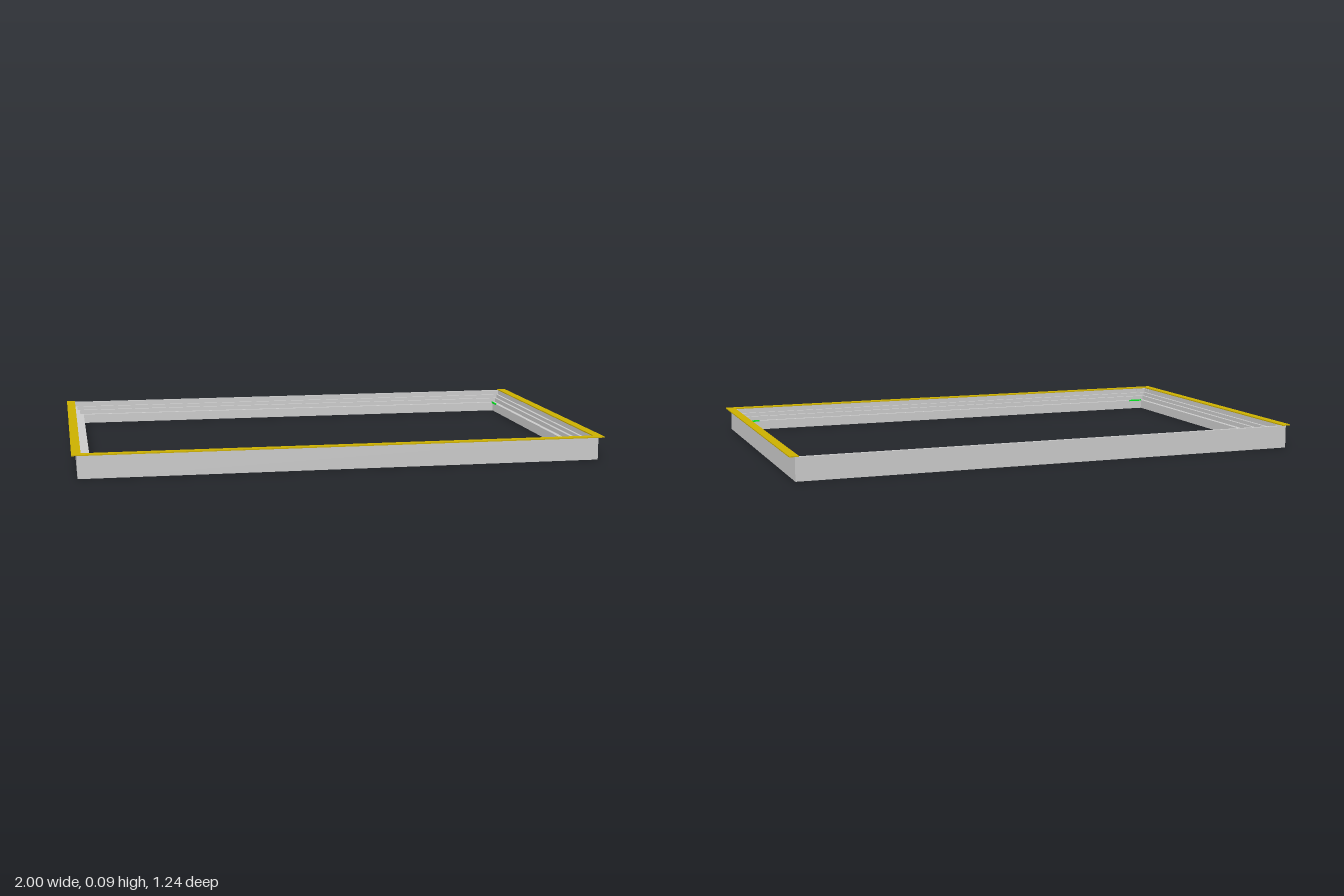
import * as THREE from 'three';

const OUT_X = 0.98, FRONT = 0.605, BACK = -0.62;

const material = (color) => new THREE.MeshStandardMaterial({ color });

function addBox(group, name, mat, size, pos) {
  const mesh = new THREE.Mesh(new THREE.BoxGeometry(...size), mat);
  mesh.name = name;
  mesh.position.set(...pos);
  group.add(mesh);
}

// Sweeps a closed [inset, height] profile round the rectangle with mitred corners
function mitredFrame(profile) {
  const corners = [[-1, 1], [1, 1], [1, -1], [-1, -1]];
  const point = (i, j) => {
    const [sx, sz] = corners[i % 4];
    const [inset, y] = profile[j % profile.length];
    return [sx * (OUT_X - inset), y, sz > 0 ? FRONT - inset : BACK + inset];
  };
  const positions = [];
  for (let i = 0; i < 4; i++) {
    for (let j = 0; j < profile.length; j++) {
      const a = point(i, j), b = point(i, j + 1);
      const d = point(i + 1, j), c = point(i + 1, j + 1);
      positions.push(...a, ...d, ...c, ...a, ...c, ...b);
    }
  }
  const geometry = new THREE.BufferGeometry();
  geometry.setAttribute('position', new THREE.Float32BufferAttribute(positions, 3));
  geometry.computeVertexNormals();
  return geometry;
}

export function createModel() {
  const group = new THREE.Group();
  const grey = material(0xcccccc);
  const yellow = material(0xccb000);
  const green = material(0x00ee22);

  // Frame with a rebated, stepped inner side
  const frame = new THREE.Mesh(mitredFrame([
    [0, 0], [0, 0.087], [0.013, 0.087], [0.013, 0.068],
    [0.023, 0.068], [0.023, 0.054], [0.034, 0.054], [0.034, 0.037],
    [0.05, 0.037], [0.05, 0],
  ]), grey);
  frame.name = 'frame';
  group.add(frame);

  // Thin covering flange on the two sides and the front, open at the back
  const outline = [
    [-1, BACK], [-1, 0.62], [1, 0.62], [1, BACK],
    [0.966, BACK], [0.966, 0.588], [-0.966, 0.588], [-0.966, BACK],
  ].map(([x, z]) => new THREE.Vector2(x, -z));
  const flangeGeometry = new THREE.ExtrudeGeometry(new THREE.Shape(outline), {
    depth: 0.004, bevelEnabled: false,
  });
  flangeGeometry.rotateX(-Math.PI / 2);
  const flange = new THREE.Mesh(flangeGeometry, yellow);
  flange.name = 'topFlange';
  flange.position.y = 0.087;
  group.add(flange);

  // Small seal strips along the inner lip near the corners
  for (const z of [-0.545, 0.53]) {
    addBox(group, 'sideSeal', green, [0.006, 0.006, 0.06], [0.929, 0.037, z]);
  }
  for (const x of [-0.9, 0.9]) {
    addBox(group, 'frontSeal', green, [0.06, 0.006, 0.005], [x, 0.037, 0.555]);
  }

  // Corner cleats behind the front flange
  for (const s of [-1, 1]) {
    addBox(group, 'cornerCleat', grey, [0.045, 0.008, 0.004], [s * 0.944, 0.08, 0.59]);
    addBox(group, 'cornerCleat', grey, [0.004, 0.008, 0.045], [s * 0.965, 0.08, 0.57]);
  }
  return group;
}
